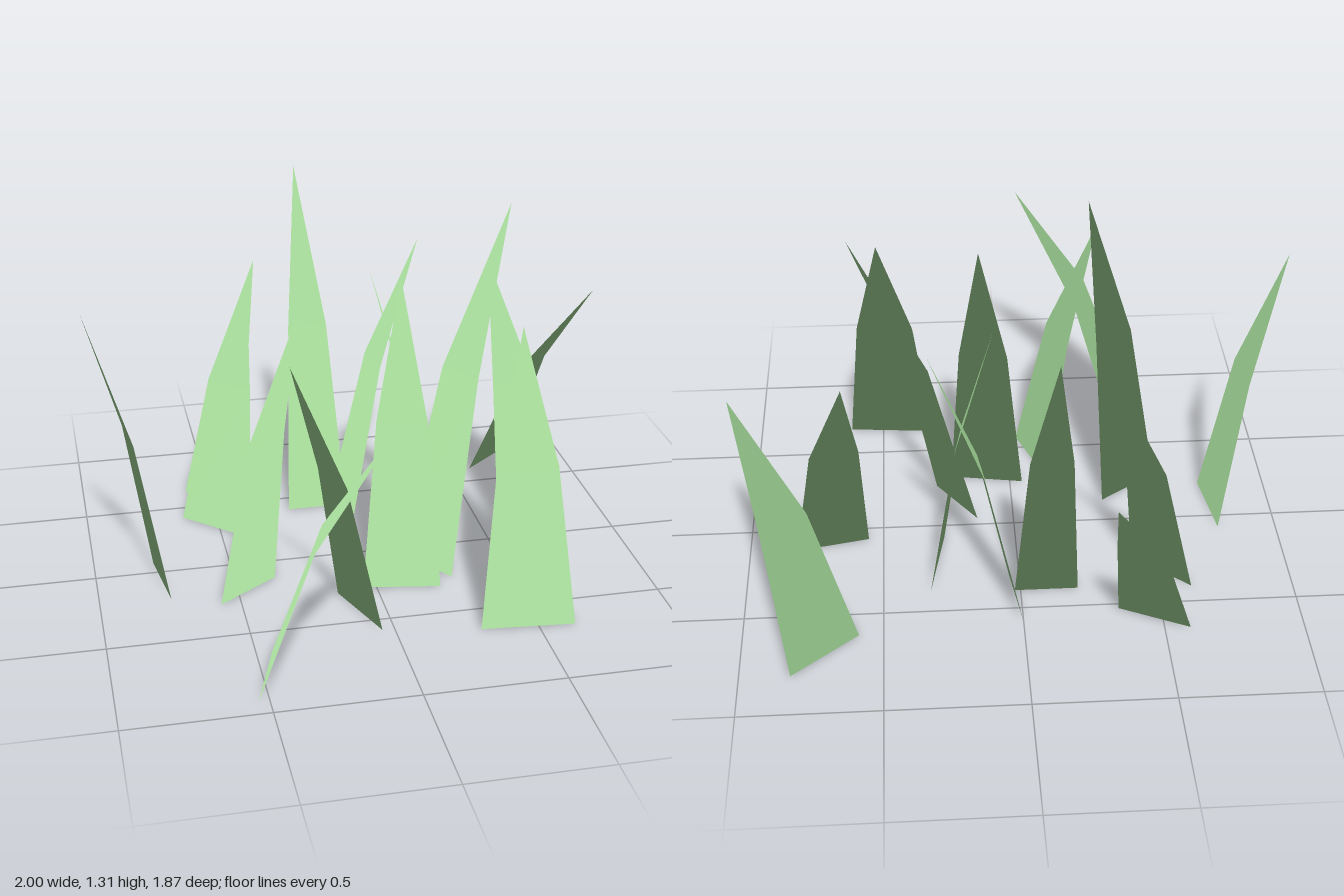
import * as THREE from 'three';

// One blade per row: base corner (x, z), base corner (x, z), tip (x, y, z)
const BLADES = [
  [-0.593, -0.641, -0.347, -0.523, -0.278, 0.755, -0.935],
  [-0.628, -0.415, -0.428, -0.228, -0.304, 1.0, -0.556],
  [-0.21, -0.4, 0.021, -0.4, -0.092, 1.27, -0.865],
  [0.0, -0.57, 0.037, -0.308, 0.32, 1.07, -0.475],
  [0.328, -0.383, 0.271, -0.075, 0.086, 1.035, -0.27],
  [0.823, -0.812, 0.588, -0.614, 1.0, 0.85, -0.366],
  [0.556, -0.066, 0.825, -0.121, 0.607, 0.96, -0.494],
  [0.138, 0.038, 0.288, 0.256, 0.578, 1.31, -0.105],
  [-0.78, -0.073, -0.743, 0.213, -1.0, 1.09, 0.102],
  [-0.573, 0.283, -0.353, 0.125, -0.304, 1.155, 0.432],
  [-0.048, 0.267, 0.23, 0.315, 0.121, 1.132, 0.103],
  [-0.146, 0.288, -0.043, 0.572, -0.348, 1.003, 0.522],
  [0.297, 0.638, 0.63, 0.67, 0.491, 1.02, 0.374],
  [-0.445, 0.636, -0.536, 0.93, -0.058, 0.953, 0.916],
];

const KNEE_HEIGHT = 0.553; // where the blade bends, as a share of its height
const KNEE_LEAN = 0.405;   // how far it has leaned towards the tip there
const KNEE_WIDTH = 0.65;   // width left there
const HALF_THICKNESS = 0.001;

// Every blade shares one soft upward normal, so the whole tuft shades evenly
const SHARED_NORMAL = new THREE.Vector3(0, 0.9, 0.44).normalize();

// A paper-thin blade: two base corners, two knee corners and a tip, on each side
function bladeGeometry([ax, az, bx, bz, tx, ty, tz]) {
  const a = new THREE.Vector3(ax, 0, az);
  const b = new THREE.Vector3(bx, 0, bz);
  const tip = new THREE.Vector3(tx, ty, tz);
  const base = a.clone().add(b).multiplyScalar(0.5);
  const knee = base.clone().lerp(tip, KNEE_LEAN);
  knee.y = ty * KNEE_HEIGHT;
  const half = b.clone().sub(a).multiplyScalar(KNEE_WIDTH / 2);
  const outline = [a, b, knee.clone().sub(half), knee.clone().add(half), tip];

  // Front sheet just ahead of the blade's plane, back sheet just behind it
  const offset = half.clone().cross(tip.clone().sub(base)).setLength(HALF_THICKNESS);
  const points = [
    ...outline.map((p) => p.clone().add(offset)),
    ...outline.map((p) => p.clone().sub(offset)),
  ];
  const front = [0, 1, 3, 0, 3, 2, 2, 3, 4];
  const back = front.map((i) => i + 5).reverse();

  const geometry = new THREE.BufferGeometry().setFromPoints(points);
  geometry.setAttribute('normal',
    new THREE.Float32BufferAttribute(points.flatMap(() => SHARED_NORMAL.toArray()), 3));
  geometry.setIndex([...front, ...back]);
  return geometry;
}

export function createModel() {
  const group = new THREE.Group();
  group.name = 'grassTuft';
  const grassGreen = new THREE.MeshStandardMaterial({ color: 0x9ed192 });
  grassGreen.name = 'grassGreen';

  BLADES.forEach((row, i) => {
    const blade = new THREE.Mesh(bladeGeometry(row), grassGreen);
    blade.name = `grassBlade${i + 1}`;
    group.add(blade);
  });
  return group;
}
